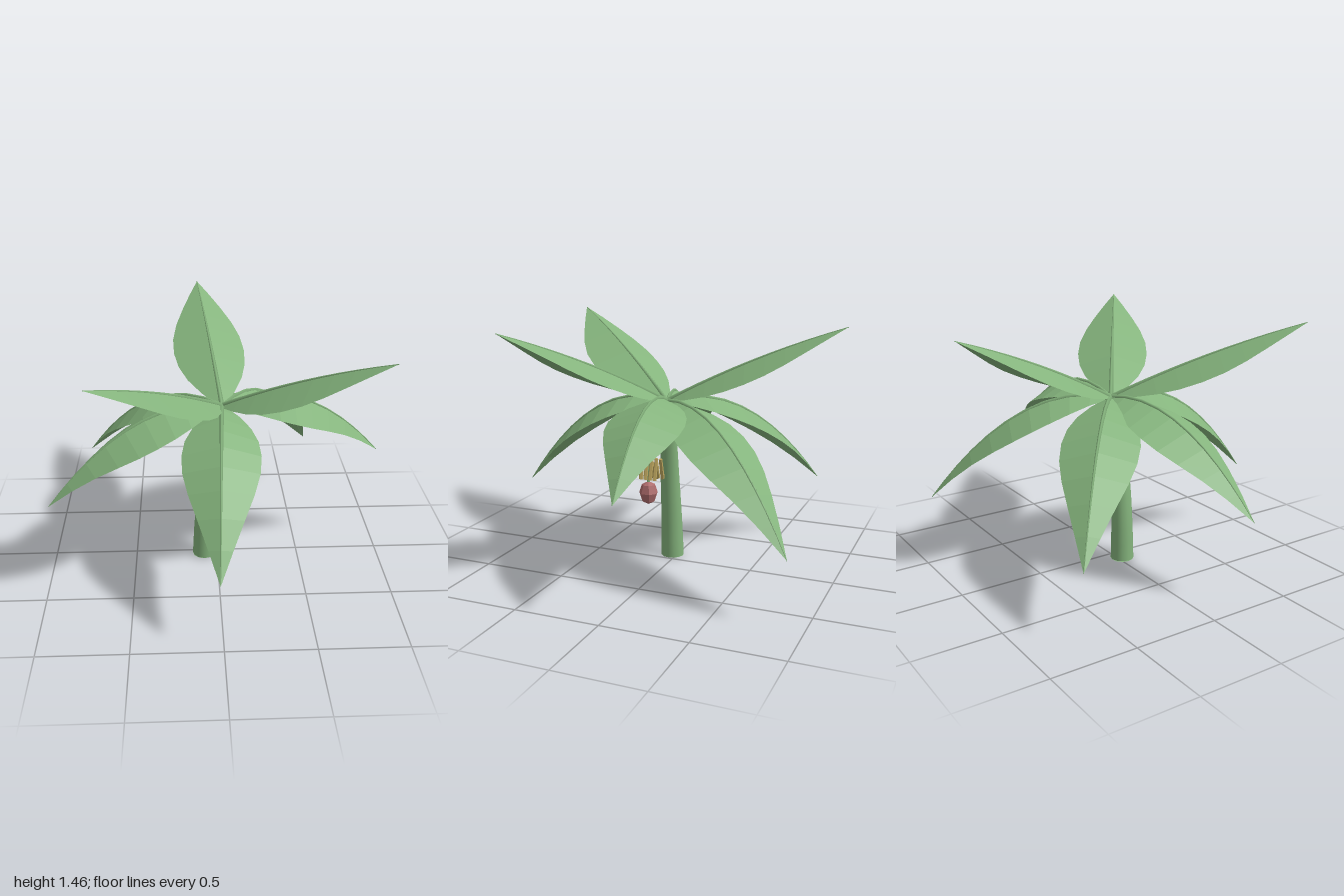
import * as THREE from 'three';

const leafGreen = new THREE.MeshStandardMaterial({ color: 0x85b47d });
const fruitGold = new THREE.MeshStandardMaterial({ color: 0xb8a25c });
const budRed = new THREE.MeshStandardMaterial({ color: 0xae6c6c });
leafGreen.name = 'leafGreen';
fruitGold.name = 'fruitGold';
budRed.name = 'budRed';
const bladeGreen = leafGreen;
bladeGreen.side = THREE.DoubleSide;
budRed.flatShading = fruitGold.flatShading = true;

const V = (x, y, z) => new THREE.Vector3(x, y, z);
const CROWN = V(0.03, 1.0, 0.02);

function mesh(name, geometry, material) {
  const m = new THREE.Mesh(geometry, material);
  m.name = name;
  return m;
}

// Tube whose radius changes evenly from r0 to r1
function taperedTube(curve, segments, sides, r0, r1) {
  const g = new THREE.TubeGeometry(curve, segments, 1, sides);
  const p = g.attributes.position, v = V(0, 0, 0);
  for (let i = 0; i < p.count; i++) {
    const t = Math.floor(i / (sides + 1)) / segments;
    const c = curve.getPointAt(t);
    v.fromBufferAttribute(p, i).sub(c).multiplyScalar(r0 + (r1 - r0) * t).add(c);
    p.setXYZ(i, v.x, v.y, v.z);
  }
  return g;
}

// Half widths of a blade from base to tip
const WIDTHS = [0.02, 0.1, 0.165, 0.205, 0.22, 0.212, 0.178, 0.125, 0.065, 0];

// Folded blade: a raised midrib line with both halves sloping down
function bladeGeometry(curve, side) {
  const n = WIDTHS.length - 1, pos = [], index = [];
  WIDTHS.forEach((w, i) => {
    const mid = curve.getPoint(i / n);
    const up = V(0, 0, 0).crossVectors(side, curve.getTangent(i / n)).normalize();
    if (up.y < 0) up.negate();
    for (const s of [-1, 0, 1]) {
      const q = mid.clone().addScaledVector(side, s * w).addScaledVector(up, -Math.abs(s) * w * 0.4);
      pos.push(q.x, q.y, q.z);
    }
    if (i < n) {
      for (const k of [0, 1]) {
        const a = i * 3 + k, b = a + 1, c = a + 3, d = a + 4;
        index.push(a, b, c, b, d, c);
      }
    }
  });
  const g = new THREE.BufferGeometry();
  g.setAttribute('position', new THREE.Float32BufferAttribute(pos, 3));
  g.setIndex(index);
  const flat = g.toNonIndexed();
  flat.computeVertexNormals();
  return flat;
}

function makeLeaf([x, y, z, arch]) {
  const tip = V(x, y, z);
  const bend = CROWN.clone().lerp(tip, 0.5).setY(arch);
  const curve = new THREE.QuadraticBezierCurve3(CROWN, bend, tip);
  // horizontal, chosen so that the blade's front is its upper side
  const side = V(z - CROWN.z, 0, CROWN.x - x).normalize().negate();
  const leaf = new THREE.Group();
  leaf.name = 'leaf';
  leaf.add(mesh('blade', bladeGeometry(curve, side), bladeGreen));
  leaf.add(mesh('midrib', taperedTube(curve, 10, 4, 0.014, 0.002), leafGreen));
  return leaf;
}

export function createModel() {
  const plant = new THREE.Group();
  plant.name = 'bananaPlant';

  // Trunk, leaning gently toward the crown
  const trunkPath = new THREE.CatmullRomCurve3([
    V(-0.08, 0.005, 0.03), V(-0.072, 0.25, 0.033), V(-0.045, 0.55, 0.035), V(0.03, 1.0, 0.02),
  ]);
  plant.add(mesh('trunk', taperedTube(trunkPath, 10, 12, 0.07, 0.045), leafGreen));
  const foot = mesh('trunkFoot', new THREE.CircleGeometry(0.07, 12).rotateX(Math.PI / 2), leafGreen);
  foot.position.set(-0.08, 0.003, 0.03);
  plant.add(foot);

  // Leaves: tip x, y, z and height of the arch
  const leaves = [
    [-0.09, 1.46, -1.0, 1.29], [0.89, 1.46, 0.61, 1.29], [-0.66, 1.46, 0.9, 1.29],
    [0.65, 0.36, -0.89, 1.1], [0.98, 0.65, -0.08, 1.2], [-0.02, 0.41, 0.99, 1.12],
    [-0.98, 0.49, 0.27, 1.125], [-0.82, 0.39, -0.7, 1.09],
  ];
  leaves.forEach((l) => plant.add(makeLeaf(l)));

  // Hanging stalk
  const stalkPath = new THREE.CatmullRomCurve3([
    V(0.03, 0.97, 0.03), V(0.085, 0.9, 0.07), V(0.118, 0.75, 0.095), V(0.128, 0.5, 0.1),
  ]);
  plant.add(mesh('fruitStalk', taperedTube(stalkPath, 10, 6, 0.014, 0.01), leafGreen));

  // Two rows of fruit, splayed to either side of the stalk
  const fruit = new THREE.Group();
  fruit.name = 'fruitBunch';
  for (const s of [-1, 1]) {
    for (let i = 0; i < 4; i++) {
      const f = mesh('fruit', new THREE.CylinderGeometry(0.011, 0.013, 0.13, 5), fruitGold);
      f.position.set(0.128 + s * 0.032, s < 0 ? 0.6 : 0.61, 0.035 + i * 0.029 + s * 0.006);
      f.rotation.z = s * 0.25;
      fruit.add(f);
    }
  }
  plant.add(fruit);

  // Flower bud below the fruit
  const bud = mesh('flowerBud', new THREE.SphereGeometry(0.056, 7, 4), budRed);
  bud.scale.y = 1.27;
  bud.position.set(0.128, 0.455, 0.1);
  plant.add(bud);

  return plant;
}
